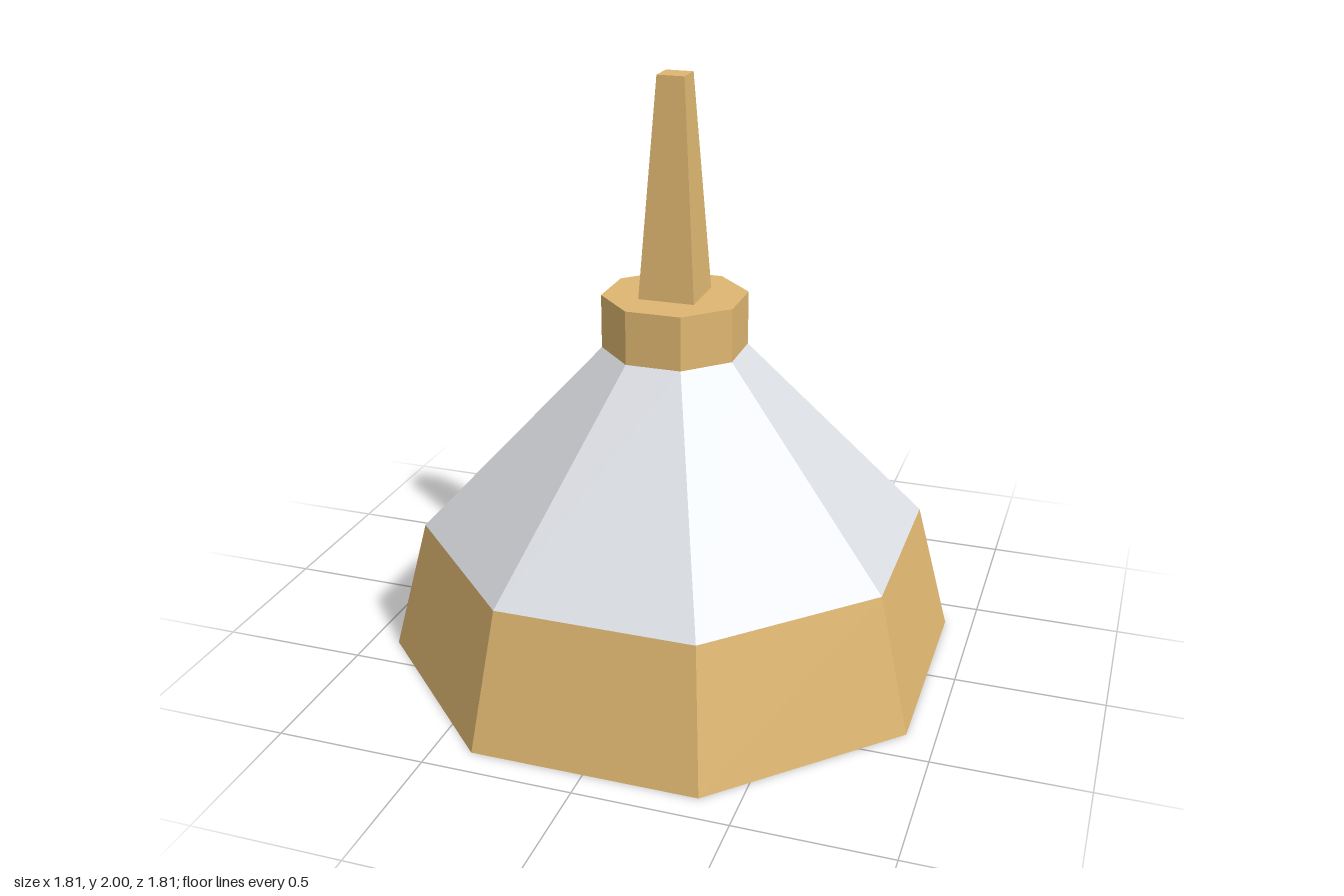
import * as THREE from 'three';

export function createModel() {
  const model = new THREE.Group();
  model.name = 'spiredRoof';

  const gold = new THREE.MeshStandardMaterial({ color: 0xdeb671 });
  gold.name = 'gold';
  const paleGrey = new THREE.MeshStandardMaterial({ color: 0xdadde2 });
  paleGrey.name = 'pale grey';

  // Tapered regular prism with flat sides facing the axes; sizes are half-widths across flats
  function prism(name, sides, bottom, top, y0, y1, material, open = false) {
    const toRadius = 1 / Math.cos(Math.PI / sides);
    const indexed = new THREE.CylinderGeometry(
      top * toRadius, bottom * toRadius, y1 - y0, sides, 1, open, Math.PI / sides);
    const geometry = indexed.toNonIndexed(); // separate faces for crisp facets
    geometry.computeVertexNormals();
    const mesh = new THREE.Mesh(geometry, material);
    mesh.name = name;
    mesh.position.y = (y0 + y1) / 2;
    model.add(mesh);
  }

  prism('base', 8, 0.905, 0.795, 0, 0.457, gold);
  prism('slopedRoof', 8, 0.795, 0.225, 0.457, 1.093, paleGrey, true);
  prism('collar', 8, 0.225, 0.225, 1.093, 1.275, gold);
  prism('spire', 4, 0.095, 0.046, 1.275, 2, gold);

  return model;
}
